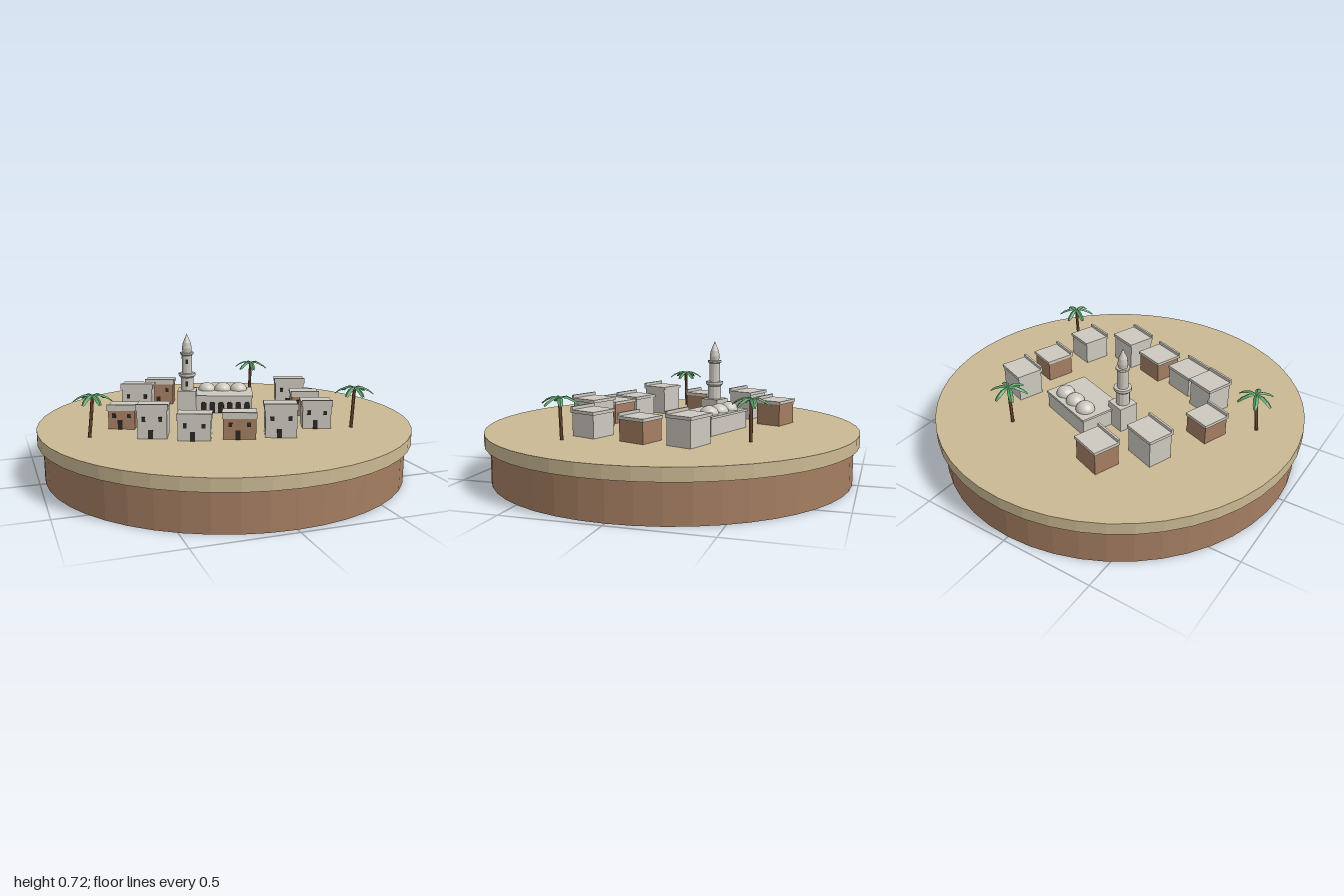
import * as THREE from 'three';

const mat = (name, color, extra = {}) =>
  Object.assign(new THREE.MeshStandardMaterial({ color, flatShading: true, ...extra }), { name });

export function createModel() {
  const sand = mat('sand', 0xcbb993);
  const clay = mat('clay', 0xa57e62);
  const stone = mat('pale stone', 0xcdc9c0);
  const dome = mat('dome stone', 0xcdc9c0, { flatShading: false });
  const dark = mat('dark opening', 0x2b2623);
  const bark = mat('bark', 0x83593c);
  const leaf = mat('palm green', 0x58a066, { side: THREE.DoubleSide });

  const GROUND = 0.265;
  const TURN = -0.35; // shared heading of the town
  const root = new THREE.Group();
  root.name = 'desertTown';

  const add = (parent, name, geometry, material, x = 0, y = 0, z = 0) => {
    const m = new THREE.Mesh(geometry, material);
    m.name = name;
    m.position.set(x, y, z);
    parent.add(m);
    return m;
  };
  const box = (parent, name, w, h, d, material, x, y, z) =>
    add(parent, name, new THREE.BoxGeometry(w, h, d), material, x, y + h / 2, z);
  const place = (name, x, z, turn = TURN) => {
    const g = new THREE.Group();
    g.name = name;
    g.position.set(x, GROUND, z);
    g.rotation.y = turn;
    root.add(g);
    return g;
  };

  // Round base: earth below, sand slab above
  add(root, 'earthBase', new THREE.CylinderGeometry(0.97, 0.97, 0.2, 48), clay, 0, 0.1, 0);
  add(root, 'sandTop', new THREE.CylinderGeometry(1, 1, 0.065, 48), sand, 0, 0.2325, 0);

  // Flat-roofed houses: x, z, roof width, roof depth, top height, wall
  const houses = [
    [-0.22, -0.53, 0.17, 0.15, 0.415, clay],
    [-0.40, -0.34, 0.18, 0.145, 0.435, stone],
    [-0.55, -0.03, 0.15, 0.155, 0.395, clay],
    [-0.445, 0.20, 0.16, 0.155, 0.44, stone],
    [-0.26, 0.305, 0.175, 0.155, 0.402, stone],
    [-0.04, 0.35, 0.175, 0.16, 0.402, clay],
    [0.165, 0.39, 0.17, 0.16, 0.438, stone],
    [0.41, 0.29, 0.16, 0.155, 0.415, stone],
    [0.47, 0.015, 0.155, 0.16, 0.405, clay],
    [0.49, -0.235, 0.175, 0.15, 0.43, stone],
  ];
  for (const [x, z, w, d, top, wall] of houses) {
    const g = place('house', x, z);
    const h = top - GROUND - 0.032;
    const bw = w - 0.012, bd = d - 0.012, front = bd / 2 + 0.002;
    box(g, 'walls', bw, h, bd, wall, 0, 0, 0);
    box(g, 'roofSlab', w, 0.016, d, stone, 0, h, 0);
    box(g, 'frontParapet', w, 0.016, 0.012, stone, 0, h + 0.016, d / 2 - 0.006);
    box(g, 'door', 0.024, 0.046, 0.008, dark, -0.008, 0, front);
    for (const s of [-1, 1])
      box(g, 'window', 0.018, 0.022, 0.008, dark, s * bw * 0.28, h * 0.62, front);
  }

  // Domed hall with an arcade along the front
  const hall = place('domedHall', 0.073, -0.237);
  const hallH = 0.1;
  box(hall, 'hallWalls', 0.335, hallH - 0.012, 0.23, stone, 0, 0, 0);
  box(hall, 'hallRoof', 0.345, 0.012, 0.24, stone, 0, hallH - 0.012, 0);
  for (const x of [-0.092, 0, 0.092]) {
    const d = add(hall, 'roofDome',
      new THREE.SphereGeometry(0.05, 20, 8, 0, Math.PI * 2, 0, Math.PI / 2), dome, x, hallH, -0.052);
    d.scale.y = 0.85;
  }
  const arch = new THREE.Shape();
  arch.moveTo(-0.016, 0);
  arch.lineTo(0.016, 0);
  arch.lineTo(0.016, 0.048);
  arch.absarc(0, 0.048, 0.016, 0, Math.PI, false);
  arch.closePath();
  const archGeo = new THREE.ExtrudeGeometry(arch, { depth: 0.006, bevelEnabled: false, curveSegments: 6 });
  for (let i = 0; i < 6; i++)
    add(hall, 'archway', archGeo, dark, -0.105 + i * 0.049, 0, 0.115);

  // Tower: square foot, two round stages with balconies, pointed cap
  const tower = place('tower', -0.15, -0.2);
  box(tower, 'towerFoot', 0.105, 0.135, 0.105, stone, 0, 0, 0);
  const profile = [
    [0.036, 0.13], [0.036, 0.205], [0.047, 0.215], [0.047, 0.23], [0.029, 0.23],
    [0.029, 0.33], [0.037, 0.336], [0.037, 0.346], [0.024, 0.346], [0.027, 0.37],
    [0.022, 0.4], [0.009, 0.43], [0, 0.452],
  ].map(([r, y]) => new THREE.Vector2(r, y));
  add(tower, 'towerShaft', new THREE.LatheGeometry(profile, 12), stone);
  box(tower, 'towerWindow', 0.014, 0.026, 0.008, dark, 0, 0.285, 0.027);
  box(tower, 'towerWindow', 0.014, 0.026, 0.008, dark, 0, 0.16, 0.034);

  // Palm frond: a folded strip that arches down and tapers
  const stations = [[0, 0, 0.006], [0.04, 0.002, 0.014], [0.075, -0.014, 0.013], [0.098, -0.034, 0.007]];
  const verts = [], faces = [];
  for (const [r, y, w] of stations)
    verts.push(r, y - w * 0.6, -w, r, y, 0, r, y - w * 0.6, w);
  for (let i = 0; i < stations.length - 1; i++)
    for (const k of [0, 1]) {
      const a = i * 3 + k;
      faces.push(a, a + 1, a + 3, a + 1, a + 4, a + 3);
    }
  const frond = new THREE.BufferGeometry();
  frond.setAttribute('position', new THREE.Float32BufferAttribute(verts, 3));
  frond.setIndex(faces);
  frond.computeVertexNormals();

  // Palms: crown x and z, spin of the crown, trunk lean
  for (const [x, z, spin, lean] of [
    [0.35, -0.505, 0.35, 0.008], [-0.735, 0.135, 0.75, 0.022], [0.58, 0.39, 0.5, 0.012],
  ]) {
    const g = place('palm', x, z, 0);
    const path = new THREE.QuadraticBezierCurve3(
      new THREE.Vector3(-lean, 0, 0),
      new THREE.Vector3(-lean * 0.4, 0.1, 0),
      new THREE.Vector3(0, 0.205, 0));
    add(g, 'trunk', new THREE.TubeGeometry(path, 5, 0.009, 7, false), bark);
    add(g, 'crownHeart', new THREE.SphereGeometry(0.012, 8, 6), leaf, 0, 0.205, 0);
    for (let i = 0; i < 6; i++) {
      const f = add(g, 'frond', frond, leaf, 0, 0.215, 0);
      f.rotation.y = spin + i * Math.PI / 3 + (i % 2) * 0.15;
    }
  }
  return root;
}
